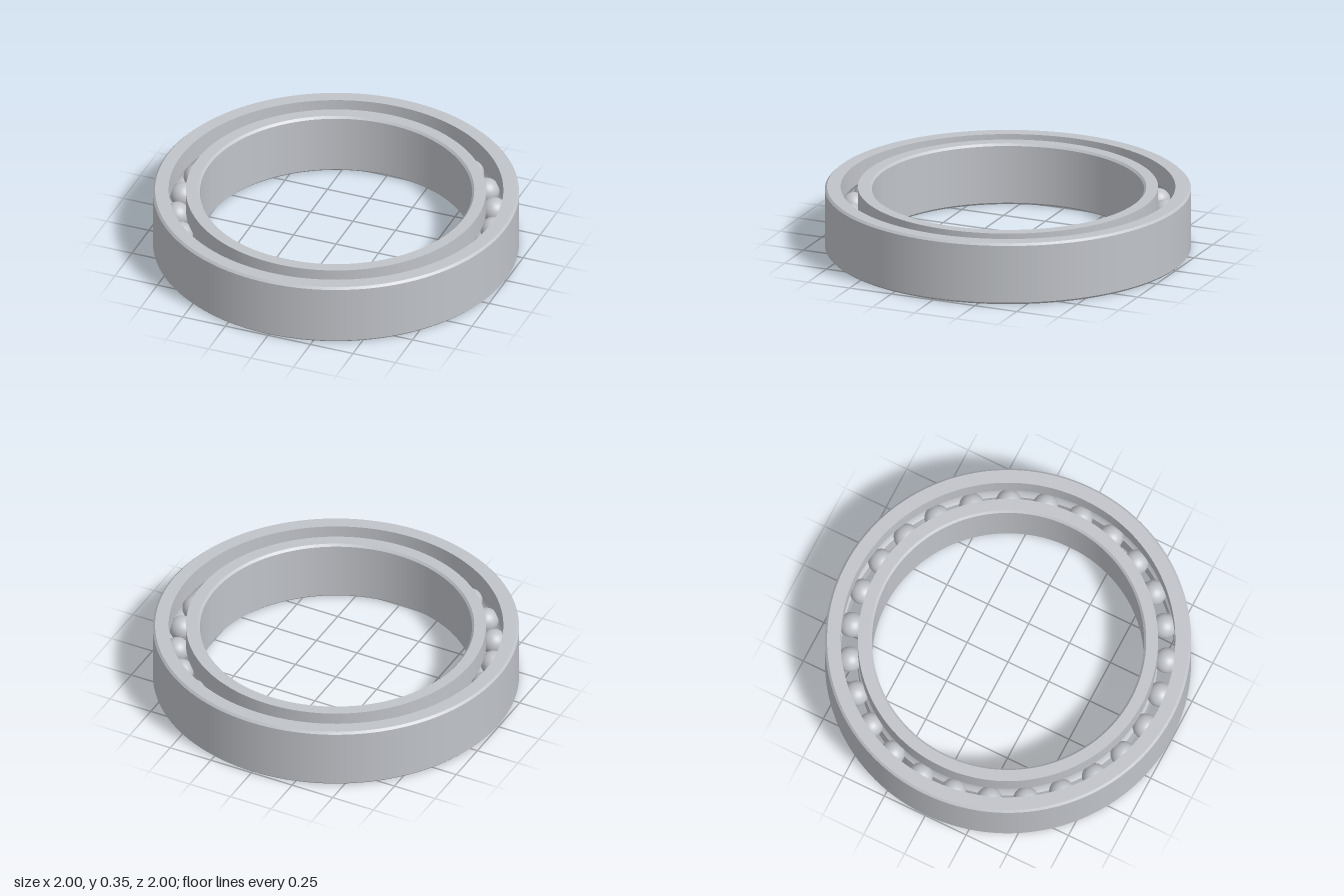
import * as THREE from 'three';
import { mergeGeometries } from 'three/addons/utils/BufferGeometryUtils.js';

const H = 0.35, MID = H / 2, CH = 0.012;
const PITCH = 0.867, BALL_R = 0.07, BALLS = 27, GROOVE_R = 0.072;
const SEGMENTS = 128;

// Revolve each smooth run of the profile separately so the edges between them stay sharp
function ringGeometry(runs) {
  return mergeGeometries(runs.map(run =>
    new THREE.LatheGeometry(run.map(([x, y]) => new THREE.Vector2(x, y)), SEGMENTS)));
}

// Straight runs joining consecutive points
function edges(points) {
  return points.slice(1).map((p, i) => [points[i], p]);
}

// Raceway arc around the ball centre, swept from one angle to another
function groove(from, to, steps = 14) {
  return Array.from({ length: steps + 1 }, (_, i) => {
    const a = from + (to - from) * i / steps;
    return [PITCH + GROOVE_R * Math.cos(a), MID + GROOVE_R * Math.sin(a)];
  });
}

export function createModel() {
  const group = new THREE.Group();
  const steel = new THREE.MeshStandardMaterial({ color: 0xc0c3c8 });
  steel.name = 'steel';

  function add(name, geometry, parent = group) {
    const mesh = new THREE.Mesh(geometry, steel);
    mesh.name = name;
    parent.add(mesh);
    return mesh;
  }

  // Outer ring: chamfered outside, grooved inside
  const outerX = 0.914;
  const a = Math.acos((outerX - PITCH) / GROOVE_R);
  const outerGroove = groove(a, -a);
  add('outerRing', ringGeometry([
    ...edges([outerGroove.at(-1), [outerX, 0], [1 - CH, 0], [1, CH], [1, H - CH],
      [1 - CH, H], [outerX, H], outerGroove[0]]),
    outerGroove,
  ]));

  // Inner ring: grooved outside, chamfered bore
  const innerX = 0.82, bore = 0.743;
  const b = Math.acos((PITCH - innerX) / GROOVE_R);
  const innerGroove = groove(Math.PI + b, Math.PI - b);
  add('innerRing', ringGeometry([
    ...edges([innerGroove.at(-1), [innerX, H], [bore + CH, H], [bore, H - CH],
      [bore, CH], [bore + CH, 0], [innerX, 0], innerGroove[0]]),
    innerGroove,
  ]));

  // Balls evenly spaced in the raceway
  const balls = new THREE.Group();
  balls.name = 'balls';
  group.add(balls);
  const ballGeometry = new THREE.SphereGeometry(BALL_R, 32, 20);
  for (let i = 0; i < BALLS; i++) {
    const t = i / BALLS * Math.PI * 2;
    add('ball', ballGeometry, balls).position.set(PITCH * Math.cos(t), MID, PITCH * Math.sin(t));
  }

  return group;
}
